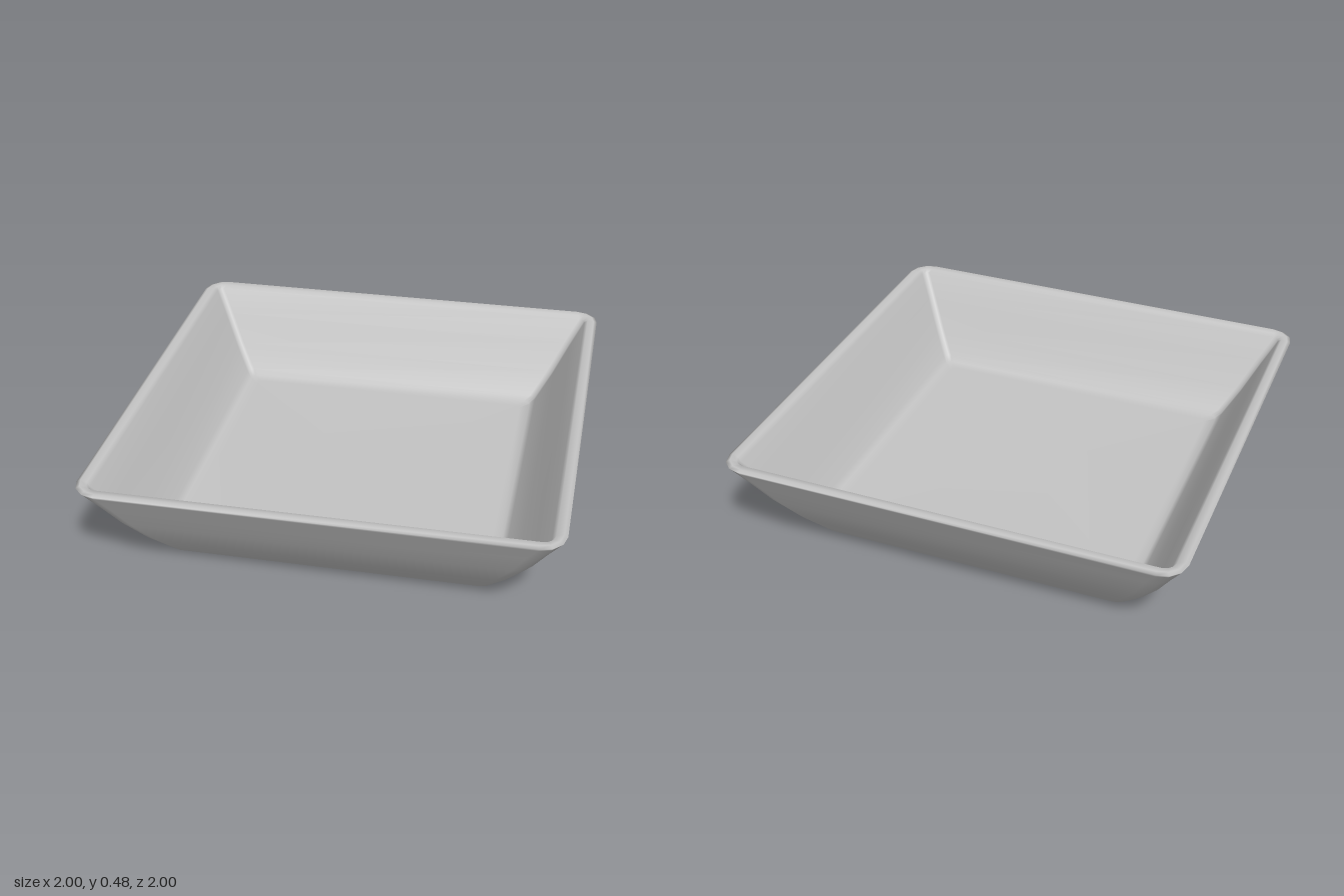
import * as THREE from 'three';

const CORNER_STEPS = 3;

// Points of a rounded square with the given half width and corner radius
function squareRing(half, radius, y) {
  const points = [];
  for (let corner = 0; corner < 4; corner++) {
    const mid = Math.PI / 4 + corner * Math.PI / 2;
    const cx = Math.sign(Math.cos(mid)) * (half - radius);
    const cz = Math.sign(Math.sin(mid)) * (half - radius);
    for (let s = 0; s <= CORNER_STEPS; s++) {
      const a = (corner + s / CORNER_STEPS) * Math.PI / 2;
      const x = cx + Math.cos(a) * radius;
      // a slight hand-made slope from side to side
      points.push(x, y + 0.007 * x, cz + Math.sin(a) * radius);
    }
  }
  return points;
}

// Skin a list of rings: [half width, corner radius, height]
function loft(profile) {
  const n = 4 * (CORNER_STEPS + 1);
  const positions = profile.flatMap((p) => squareRing(...p));
  const index = [];
  for (let r = 0; r < profile.length - 1; r++) {
    for (let i = 0; i < n; i++) {
      const j = (i + 1) % n;
      const a = r * n + i, b = r * n + j;
      index.push(a, a + n, b, a + n, b + n, b);
    }
  }
  const geometry = new THREE.BufferGeometry();
  geometry.setAttribute('position', new THREE.Float32BufferAttribute(positions, 3));
  geometry.setIndex(index);
  geometry.computeVertexNormals();
  return geometry;
}

export function createModel() {
  const glaze = new THREE.MeshStandardMaterial({ color: 0xc4c4c4 });
  glaze.name = 'grey glaze';

  const profile = [
    // recessed underside and foot
    [0, 0, 0.035],
    [0.6, 0.03, 0.035],
    [0.63, 0.03, 0.03],
    [0.665, 0.04, 0.008],
    [0.69, 0.05, 0.01],
    [0.71, 0.06, 0.025],
    // flaring outer wall
    [0.8, 0.08, 0.135],
    [0.88, 0.09, 0.255],
    [0.945, 0.1, 0.37],
    [0.992, 0.1, 0.452],
    // rim
    [1, 0.1, 0.466],
    [0.985, 0.09, 0.473],
    [0.955, 0.05, 0.47],
    [0.94, 0.03, 0.455],
    // inner wall and floor
    [0.88, 0.03, 0.35],
    [0.81, 0.03, 0.22],
    [0.74, 0.03, 0.11],
    [0.715, 0.03, 0.09],
    [0.67, 0.03, 0.085],
    [0, 0, 0.085],
  ];
  const dish = new THREE.Mesh(loft(profile), glaze);
  dish.name = 'squareDish';

  const model = new THREE.Group();
  model.name = 'dish';
  model.add(dish);
  return model;
}
